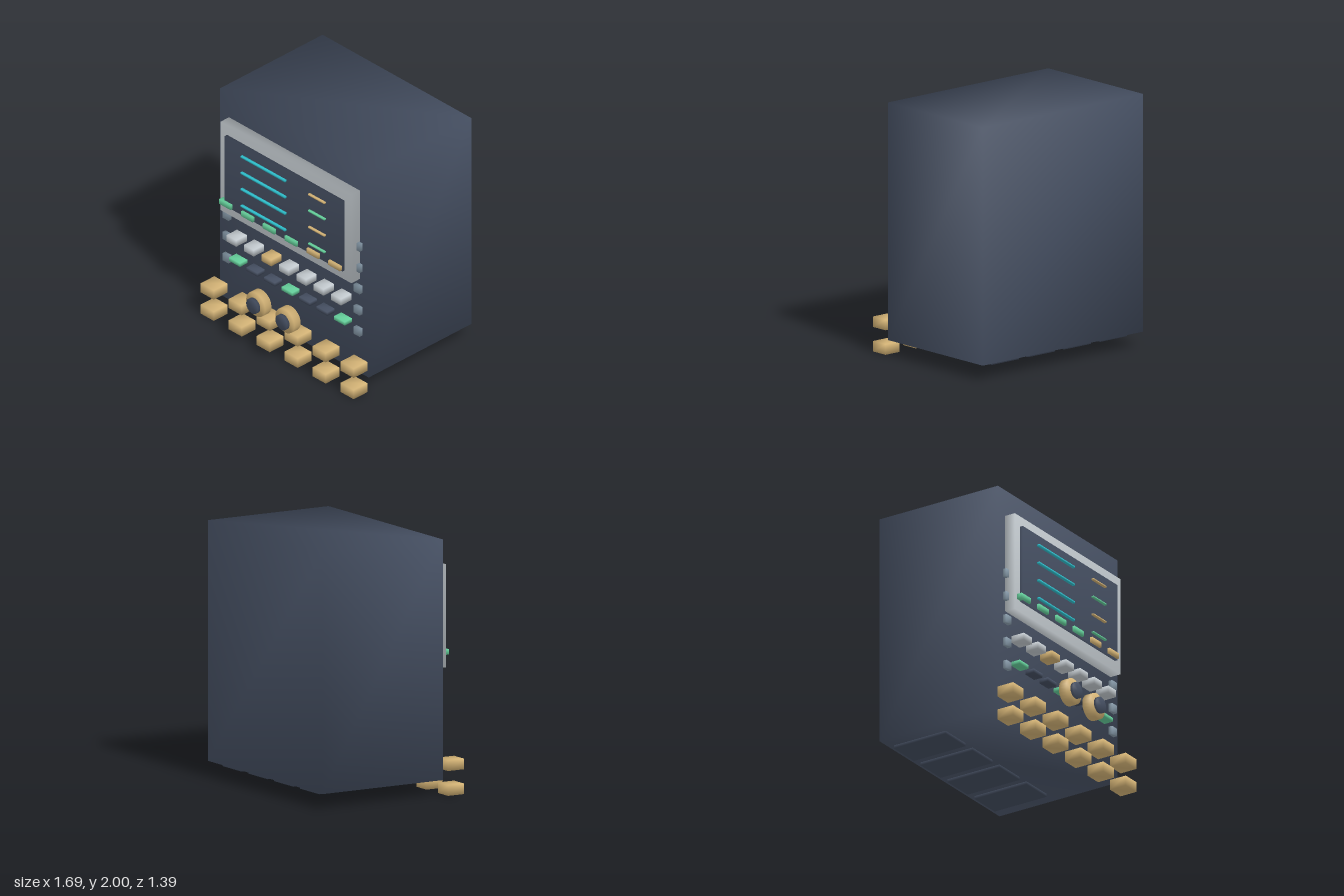
import * as THREE from 'three';
import { mergeVertices } from 'three/addons/utils/BufferGeometryUtils.js';

const material = (name, color) => {
  const m = new THREE.MeshStandardMaterial({ color });
  m.name = name;
  return m;
};

// Share corners so the shading runs softly across the edges
function soften(geometry) {
  geometry.deleteAttribute('normal');
  geometry.deleteAttribute('uv');
  const welded = mergeVertices(geometry, 1e-4);
  welded.computeVertexNormals();
  return welded;
}

export function createModel() {
  const root = new THREE.Group();
  root.name = 'controlConsole';

  const navy = material('navy', 0x465063);
  const silver = material('silver', 0xc6cdd2);
  const amber = material('amber', 0xd6b577);
  const green = material('green', 0x66d29d);
  const cyan = material('cyan', 0x2fc3d0);
  const slate = material('slate', 0x8497a6);

  const group = (name) => {
    const g = new THREE.Group();
    g.name = name;
    root.add(g);
    return g;
  };
  const add = (parent, name, geometry, mat, x, y, z) => {
    const mesh = new THREE.Mesh(soften(geometry), mat);
    mesh.name = name;
    mesh.position.set(x, y, z);
    parent.add(mesh);
    return mesh;
  };
  const box = (parent, name, mat, [w, h, d], [x, y, z]) =>
    add(parent, name, new THREE.BoxGeometry(w, h, d), mat, x, y, z);
  const disc = (parent, name, mat, radius, depth, x, y, z) =>
    add(parent, name, new THREE.CylinderGeometry(radius, radius, depth, 24).rotateX(Math.PI / 2), mat, x, y, z);

  const cx = 0.016; // centre line of the cabinet

  // Cabinet, screen frame and screen
  box(root, 'cabinet', navy, [1.643, 1.88, 1.095], [cx, 1.06, -0.1475]);
  box(root, 'screenFrame', silver, [1.445, 0.807, 0.09], [cx + 0.001, 1.379, 0.445]);
  box(root, 'screen', navy, [1.3, 0.635, 0.06], [cx, 1.378, 0.485]);

  // Traces on the screen: a long one and a short one in each row
  const traces = group('screenTraces');
  [1.606, 1.457, 1.308, 1.157].forEach((y, i) => {
    box(traces, 'longTrace', cyan, [0.49, 0.015, 0.02], [-0.193, y, 0.526]);
    box(traces, 'shortTrace', i % 2 ? green : amber, [0.18, 0.012, 0.02], [0.396, y, 0.526]);
  });

  // Soft keys along the lower edge of the screen
  const softKeys = group('softKeys');
  for (let i = 0; i < 6; i++) {
    box(softKeys, 'softKey', i < 4 ? green : amber, [0.129, 0.042, 0.05], [-0.613 + i * 0.2415, 1.088, 0.51]);
  }

  // Columns of side keys
  const sideKeys = group('sideKeys');
  for (const x of [-0.708, 0.741]) {
    for (let i = 0; i < 5; i++) {
      box(sideKeys, 'sideKey', slate, [0.068, 0.064, 0.033], [x, 1.286 - i * 0.194, 0.42]);
    }
  }

  // Two rows of keys below the screen
  const keys = group('keyRows');
  for (let i = 0; i < 7; i++) {
    const x = cx + (i - 3) * 0.193;
    box(keys, 'upperKey', i === 2 ? amber : silver, [0.108, 0.057, 0.113], [x, 0.77, 0.457]);
    box(keys, 'lowerKey', i % 3 ? navy : green, [0.12, 0.032, 0.078], [x, 0.561, 0.44]);
  }

  // Two knobs with dark caps
  const knobs = group('knobs');
  for (const x of [-0.146, 0.177]) {
    disc(knobs, 'knob', amber, 0.105, 0.067, x, 0.447, 0.623);
    disc(knobs, 'knobCap', navy, 0.065, 0.025, x, 0.447, 0.6825);
  }

  // Two rows of connector blocks at the bottom of the front
  const connectors = group('connectors');
  for (let i = 0; i < 6; i++) {
    for (const y of [0.042, 0.236]) {
      box(connectors, 'connector', amber, [0.145, 0.083, 0.145], [(i - 2.5) * 0.309, y, 0.495]);
    }
  }

  // Flat rails under the back half
  const feet = group('feet');
  for (let i = 0; i < 4; i++) {
    box(feet, 'foot', navy, [0.275, 0.04, 0.48], [cx - 0.007 + (i - 1.5) * 0.37, 0.115, -0.407]);
  }

  return root;
}
